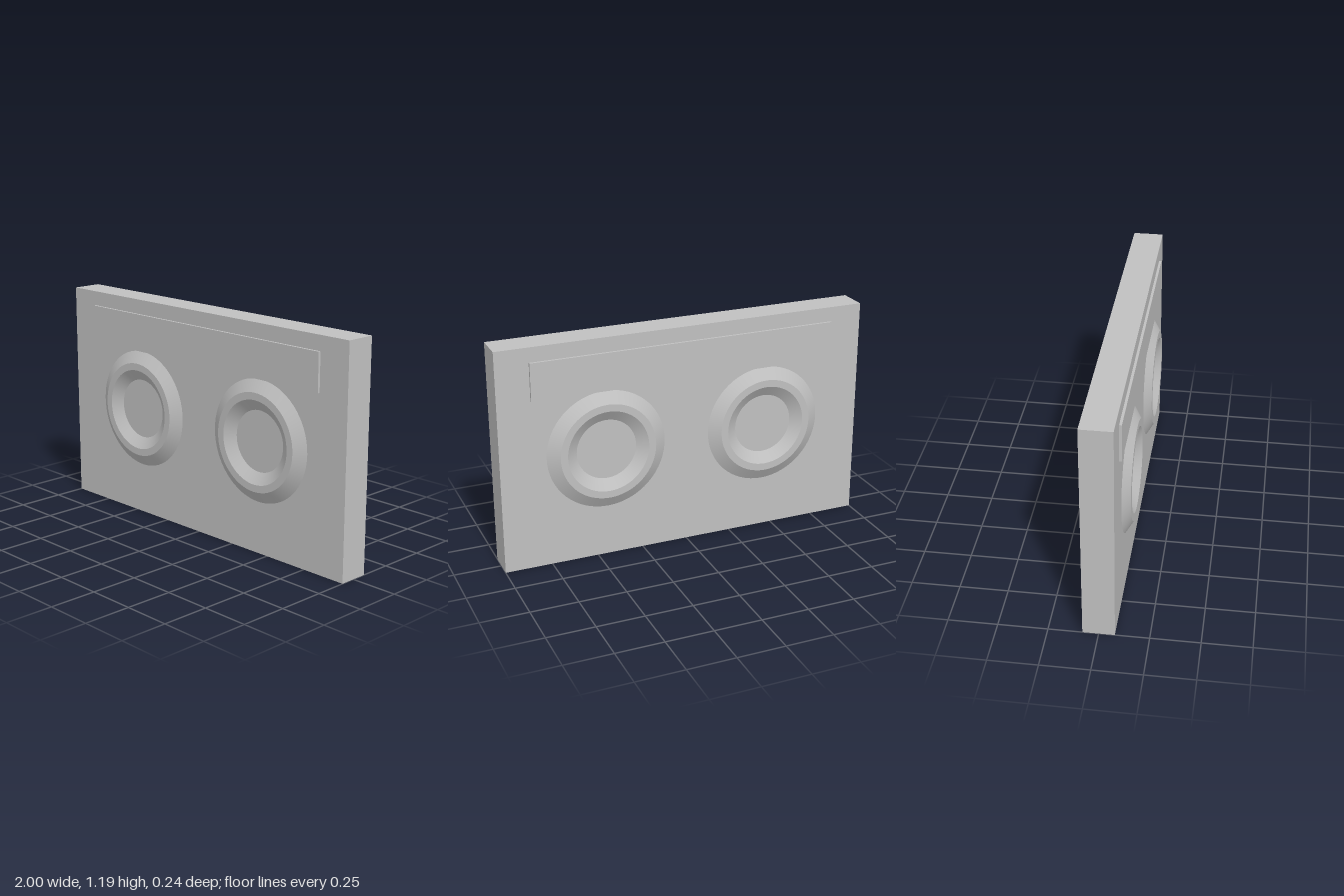
import * as THREE from 'three';
import { toCreasedNormals } from 'three/addons/utils/BufferGeometryUtils.js';

export function createModel() {
  const model = new THREE.Group();
  const grey = new THREE.MeshStandardMaterial({ color: 0xc0c0c0 });
  grey.name = 'light grey';

  const add = (parent, geometry, name, x, y, z) => {
    const mesh = new THREE.Mesh(geometry, grey);
    mesh.name = name;
    mesh.position.set(x, y, z);
    parent.add(mesh);
  };

  // Flat slab body
  const height = 1.19, depth = 0.16;
  add(model, new THREE.BoxGeometry(2, height, depth), 'body', 0, height / 2, 0);

  // Bevelled reel ring: outer slope, flat rim, inner slope
  const profile = [[0.318, 0], [0.256, 0.038], [0.218, 0.038], [0.16, 0]]
    .map(([r, h]) => new THREE.Vector2(r, h));
  const ring = toCreasedNormals(new THREE.LatheGeometry(profile, 64).rotateX(Math.PI / 2), 0.3);

  // Raised label strip, one half thickness per face
  const label = new THREE.BoxGeometry(1.654, 0.2, 0.013);

  // Both faces carry the same details
  for (const [name, angle] of [['frontFace', 0], ['backFace', Math.PI]]) {
    const face = new THREE.Group();
    face.name = name;
    face.rotation.y = angle;
    add(face, label, 'labelStrip', 0, 1.012, depth / 2 + 0.0065);
    add(face, ring, 'leftReel', 0.44, 0.593, depth / 2);
    add(face, ring, 'rightReel', -0.44, 0.593, depth / 2);
    model.add(face);
  }
  return model;
}
